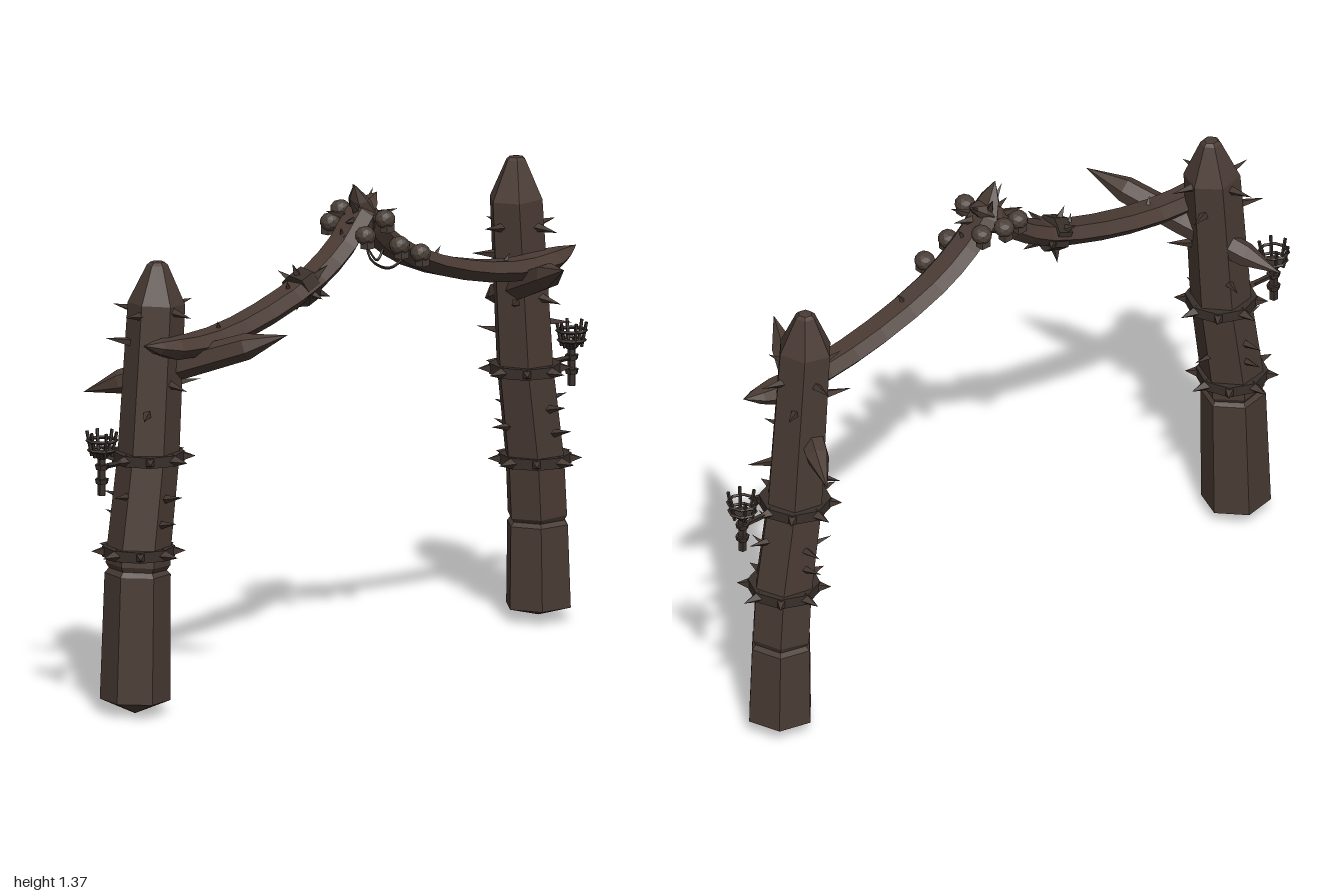
import * as THREE from 'three';

const V = (x, y, z) => new THREE.Vector3(x, y, z);
const UP = V(0, 1, 0);
const POST_Z = -0.065;

// Faceted loft: rings of given radii around a line of points
function loft(points, radii, sides = 6, rot = 0, flat = 1) {
  const pos = [], ring = [];
  points.forEach((p, i) => {
    const t = points[Math.min(i + 1, points.length - 1)].clone()
      .sub(points[Math.max(i - 1, 0)]).normalize();
    const u = t.clone().cross(V(0, 0, 1)).normalize();
    const v = u.clone().cross(t);
    ring.push(Array.from({ length: sides }, (_, k) => {
      const a = rot + (k / sides) * Math.PI * 2;
      return p.clone().addScaledVector(u, Math.cos(a) * radii[i] * flat)
        .addScaledVector(v, Math.sin(a) * radii[i]);
    }));
  });
  for (let i = 0; i < ring.length - 1; i++) {
    for (let k = 0; k < sides; k++) {
      const j = (k + 1) % sides, a = ring[i], b = ring[i + 1];
      for (const q of [a[k], b[k], b[j], a[k], b[j], a[j]]) pos.push(q.x, q.y, q.z);
    }
  }
  const g = new THREE.BufferGeometry();
  g.setAttribute('position', new THREE.Float32BufferAttribute(pos, 3));
  g.computeVertexNormals();
  return g;
}

function facet(geo) {
  const g = geo.index ? geo.toNonIndexed() : geo;
  g.computeVertexNormals();
  return g;
}

export function createModel() {
  const root = new THREE.Group();
  root.name = 'gateway';
  const mat = (name, color) => Object.assign(new THREE.MeshStandardMaterial({ color }), { name });
  const wood = mat('dark wood', 0x4a3b34);
  const spikeMat = mat('spike brown', 0x43362f);
  const iron = mat('dark iron', 0x382f2a);
  const bone = mat('old bone', 0x4a3f38);

  const add = (parent, name, geo, material, p) => {
    const m = new THREE.Mesh(geo, material);
    m.name = name;
    if (p) m.position.copy(p);
    parent.add(m);
    return m;
  };
  const group = (name) => {
    const g = new THREE.Group();
    g.name = name;
    root.add(g);
    return g;
  };
  // Four-sided spike starting at p and pointing along dir
  const spike = (parent, p, dir, len = 0.07, r = 0.014) => {
    const g = new THREE.ConeGeometry(r, len, 4);
    g.translate(0, len / 2, 0);
    const m = add(parent, 'spike', facet(g), spikeMat, p);
    m.quaternion.setFromUnitVectors(UP, dir.clone().normalize());
  };
  const rod = (parent, name, a, b, r, material) => {
    const d = b.clone().sub(a);
    const m = add(parent, name, facet(new THREE.CylinderGeometry(r, r, d.length(), 5)), material,
      a.clone().add(b).multiplyScalar(0.5));
    m.quaternion.setFromUnitVectors(UP, d.normalize());
  };

  // Post centre line leans inwards with height
  const lean = [[0, 0.825], [0.3, 0.82], [0.46, 0.81], [0.72, 0.77], [1.2, 0.733], [1.4, 0.733]];
  const postX = (y) => {
    const i = Math.max(1, lean.findIndex((l) => l[0] >= y));
    const [y0, x0] = lean[i - 1], [y1, x1] = lean[i];
    return x0 + (x1 - x0) * (y - y0) / (y1 - y0);
  };

  for (const s of [-1, 1]) {
    const label = s > 0 ? 'left' : 'right';
    const top = s > 0 ? 1.32 : 1.26;
    const base = s > 0 ? 0.018 : 0.006;
    const notch = s > 0 ? 0.29 : 0.41;
    const at = (y, a = 0, r = 0) => V(s * postX(y) + Math.cos(a) * r, y, POST_Z + Math.sin(a) * r);

    // Post with a notch and a blunt pointed head
    const g = group(label + 'Post');
    const rows = [[base, 0], [0.045, 0.097], [notch - 0.012, 0.091], [notch, 0.08], [notch + 0.014, 0.089],
      [0.46, 0.088], [0.72, 0.085], [top - 0.115, 0.079], [top - 0.008, 0.029], [top, 0.02], [top + 0.002, 0]];
    add(g, 'postShaft', loft(rows.map((r) => at(r[0])), rows.map((r) => r[1]), 6, s > 0 ? 0.2 : -0.2), wood);

    // Spiked bands
    for (const y of [0.46, 0.72]) {
      add(g, 'band', facet(new THREE.CylinderGeometry(0.1, 0.1, 0.03, 8)), iron, at(y));
      for (let k = 0; k < 8; k++) {
        const a = k * Math.PI / 4;
        spike(g, at(y, a, 0.09), V(Math.cos(a), 0, Math.sin(a)), k % 2 ? 0.04 : 0.055, 0.018);
      }
    }

    // Loose thorns on the shaft: height, angle, tilt
    const thorns = [[1.12, 0.1, 0.1], [1.13, 3.1, 0.1], [1.13, 1.5, -0.1], [1.12, -1.4, 0.1], [1.04, -0.6, 0.2],
      [1.05, 3.6, 0.1], [0.93, 1.5, -0.15], [0.92, 2.6, 0.1], [0.85, 0.6, -0.1], [0.82, -1.9, 0.1],
      [0.61, 1.6, 0.2], [0.6, -1.5, 0.1], [0.62, 0.1, 0.1], [0.54, 1.5, 0.2], [0.54, -1.6, 0.2], [0.56, 3.3, 0.1]];
    for (const [y, a, tilt] of thorns) {
      const b = s > 0 ? a : Math.PI - a;
      spike(g, at(y, b, 0.065), V(Math.cos(b), tilt, Math.sin(b)), 0.075);
    }

    // Sharpened stake driven through the post
    const tipA = V(s * 0.565, 1.075, 0.265), tipB = V(s * 0.82, 0.88, -0.26);
    const stake = [0, 0.2, 0.5, 0.82, 1].map((t) => tipA.clone().lerp(tipB, t));
    add(g, 'stake', loft(stake, [0, 0.037, 0.04, 0.034, 0], 6, 0.3), wood);

    // Torch on a bracket
    const torch = group(label + 'Torch');
    const tx = s * 0.96;
    rod(torch, 'bracket', at(0.72), V(tx, 0.72, POST_Z), 0.008, iron);
    rod(torch, 'handle', V(tx, 0.64, POST_Z), V(tx, 0.75, POST_Z), 0.012, iron);
    for (const y of [0.68, 0.72]) {
      add(torch, 'collar', facet(new THREE.CylinderGeometry(0.02, 0.017, 0.014, 6)), iron, V(tx, y, POST_Z));
    }
    add(torch, 'cup', facet(new THREE.CylinderGeometry(0.032, 0.014, 0.02, 6)), iron, V(tx, 0.753, POST_Z));
    for (const [y, r] of [[0.768, 0.037], [0.795, 0.041]]) {
      const ring = add(torch, 'basketRing', facet(new THREE.TorusGeometry(r, 0.005, 4, 8)), iron, V(tx, y, POST_Z));
      ring.rotation.x = Math.PI / 2;
    }
    for (let k = 0; k < 6; k++) {
      const c = Math.cos(k * Math.PI / 3), d = Math.sin(k * Math.PI / 3);
      rod(torch, 'basketBar', V(tx + c * 0.028, 0.75, POST_Z + d * 0.028),
        V(tx + c * 0.042, 0.82, POST_Z + d * 0.042), 0.005, iron);
    }

    // Curved beam, crossing its twin at the peak
    const end = s > 0 ? V(-0.035, 1.38, 0.03) : V(0.07, 1.34, 0.02);
    const curve = new THREE.CatmullRomCurve3([V(s * 0.885, 1.06, 0.02), V(s * 0.77, 1.035, 0.022),
      V(s * 0.6, 1.035, 0.025), V(s * 0.4, 1.072, 0.025), V(s * 0.2, 1.14, 0.025),
      V(s * 0.08, 1.215, 0.025), V(s * 0.01, 1.29, 0.025), end]);
    const n = 14;
    const radii = Array.from({ length: n + 1 }, (_, i) =>
      i === 0 || i === n ? 0 : i === 1 ? 0.032 : i === n - 1 ? 0.035 : 0.053);
    const beam = group(label + 'Beam');
    // Reverse on one side so the loft keeps a steady direction
    add(beam, 'beamLog', loft(curve.getPoints(n), radii, 6, Math.PI / 6, 0.62), wood);
    for (const t of [0.3, 0.5, 0.72]) {
      spike(beam, curve.getPoint(t).add(V(0, 0.015, 0)), V(s * 0.5, 1, 0.3), 0.04, 0.012);
    }
  }

  // Spiked wrap on one beam
  const wrap = group('beamWrap');
  const wc = V(-0.24, 1.122, 0.025), along = V(0.93, 0.36, 0).normalize();
  const cuff = add(wrap, 'cuff', facet(new THREE.CylinderGeometry(0.052, 0.052, 0.05, 7)), iron, wc);
  cuff.quaternion.setFromUnitVectors(UP, along);
  for (let k = 0; k < 7; k++) {
    const d = V(0, 1, 0).applyAxisAngle(along, k * Math.PI * 2 / 7).addScaledVector(along, k % 2 ? 0.5 : -0.5);
    spike(wrap, wc.clone().addScaledVector(d, 0.035), d, 0.05, 0.016);
  }

  // Peak: binding, splinters, skulls and a hanging cord
  const peak = group('peakOrnament');
  const pc = V(0, 1.275, 0.025);
  add(peak, 'binding', facet(new THREE.IcosahedronGeometry(0.052, 0)), iron, pc);
  for (const [x, y, z] of [[-0.7, 0.7, 0.2], [0.7, 0.75, -0.2], [-1, 0.1, 0.3], [1, 0.15, 0.2],
    [-0.9, 0.3, -0.6], [0.8, 0.3, 0.7], [0.2, 0.9, -0.5], [-0.9, -0.3, 0.2], [0.8, -0.1, -0.6]]) {
    const d = V(x, y, z).normalize();
    spike(peak, pc.clone().addScaledVector(d, 0.025), d, 0.08, 0.018);
  }
  for (const [x, y, z] of [[-0.065, 1.25, 0.1], [0.01, 1.285, 0.105], [0.075, 1.2, 0.1], [0.16, 1.165, 0.1],
    [0.01, 1.29, -0.06], [0.07, 1.28, -0.035], [-0.065, 1.27, -0.03]]) {
    const f = z > 0 ? 1 : -1;
    const skull = add(peak, 'skull', facet(new THREE.IcosahedronGeometry(0.03, 1)), bone, V(x, y, z));
    skull.scale.set(0.95, 0.9, 1);
    add(peak, 'jaw', facet(new THREE.BoxGeometry(0.03, 0.022, 0.026)), bone, V(x, y - 0.024, z + f * 0.008));
  }
  for (const [a, b, low] of [[-0.02, 0.14, 1.12], [-0.03, 0.05, 1.15]]) {
    const cord = new THREE.CatmullRomCurve3([V(a, 1.22, 0.06), V(a + 0.01, low + 0.05, 0.07),
      V((a + b) / 2, low + 0.015, 0.075), V(b - 0.01, low + 0.04, 0.07), V(b, 1.18, 0.06)]);
    add(peak, 'cord', facet(new THREE.TubeGeometry(cord, 14, 0.004, 4)), iron);
  }
  return root;
}
